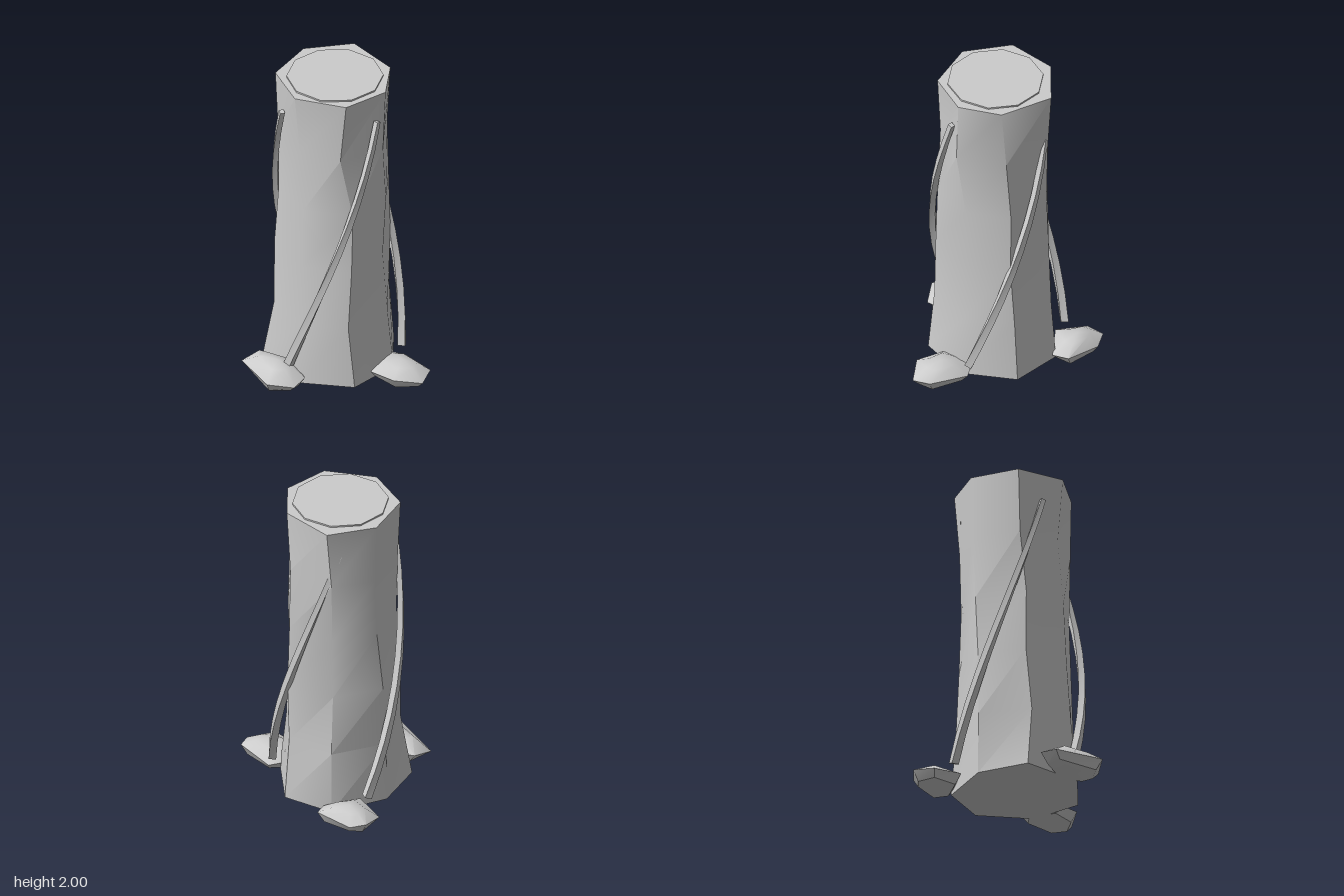
import * as THREE from 'three';
import { toCreasedNormals } from 'three/addons/utils/BufferGeometryUtils.js';

const AXIS = new THREE.Vector2(-0.1, -0.03); // trunk axis in x, z

// Skins closed rings from bottom to top and caps both ends.
function loft(rings, crease, apex) {
  const n = rings[0].length;
  const centre = (ring) => ring.reduce((s, p) => s.add(p), new THREE.Vector3()).divideScalar(n);
  const last = (rings.length - 1) * n;
  const points = [...rings.flat(), centre(rings[0]), apex || centre(rings[rings.length - 1])];
  const index = [];
  for (let j = 0; j < n; j++) {
    const k = (j + 1) % n;
    for (let i = 0; i < last; i += n) {
      index.push(i + j, i + n + j, i + k, i + k, i + n + j, i + n + k);
    }
    index.push(points.length - 2, j, k);
    index.push(points.length - 1, last + k, last + j);
  }
  const geometry = new THREE.BufferGeometry().setFromPoints(points);
  geometry.setIndex(index);
  return toCreasedNormals(geometry, crease);
}

// Seven uneven sides; each row lists x, z of one corner at six heights.
function trunkGeometry() {
  const corners = [
    [0.27, -0.12, 0.225, -0.12, 0.205, -0.1, 0.215, -0.12, 0.235, -0.06, 0.24, -0.08],
    [0.21, 0.205, 0.16, 0.2, 0.17, 0.18, 0.17, 0.165, 0.105, 0.205, 0.14, 0.195],
    [-0.1, 0.355, -0.11, 0.315, -0.12, 0.29, -0.12, 0.27, -0.16, 0.25, -0.17, 0.29],
    [-0.465, 0.2, -0.39, 0.19, -0.41, 0.16, -0.385, 0.15, -0.41, 0.12, -0.43, 0.12],
    [-0.475, -0.13, -0.47, -0.13, -0.455, -0.14, -0.43, -0.17, -0.425, -0.19, -0.44, -0.195],
    [-0.255, -0.42, -0.24, -0.395, -0.24, -0.375, -0.23, -0.365, -0.23, -0.375, -0.22, -0.415],
    [0.07, -0.415, 0.06, -0.38, 0.08, -0.365, 0.07, -0.36, 0.08, -0.33, 0.11, -0.32],
  ];
  const rings = [];
  for (let i = 0; i < 6; i++) {
    rings.push(corners.map((c) => new THREE.Vector3(c[2 * i], 0.398 * i, c[2 * i + 1])));
  }
  return loft(rings, 0.87);
}

// Square, tapering vine that climbs the trunk in a quarter turn.
function vineGeometry(startDeg, endDeg, r0, r1) {
  const at = (t) => {
    const a = THREE.MathUtils.degToRad(THREE.MathUtils.lerp(startDeg, endDeg, t));
    const r = THREE.MathUtils.lerp(r0, r1, t);
    return new THREE.Vector3(AXIS.x + r * Math.cos(a), 0.11 + 1.7 * t, AXIS.y + r * Math.sin(a));
  };
  const rings = [];
  const steps = 10;
  for (let i = 0; i <= steps; i++) {
    const t = i / steps;
    const p = at(t);
    const out = new THREE.Vector3(p.x - AXIS.x, 0, p.z - AXIS.y).normalize();
    const along = at(t + 0.01).sub(at(t - 0.01)).normalize();
    const side = out.clone().cross(along).normalize();
    const half = THREE.MathUtils.lerp(0.023, 0.015, t);
    rings.push([[1, -1], [1, 1], [-1, 1], [-1, -1]].map(([u, v]) =>
      p.clone().addScaledVector(out, u * half).addScaledVector(side, v * half)));
  }
  return loft(rings, 0.6);
}

// Squat stone-like root: small foot, wide rim, low domed crown.
function rootGeometry(outline, peak) {
  const cx = outline.reduce((s, p) => s + p[0], 0) / outline.length;
  const cz = outline.reduce((s, p) => s + p[1], 0) / outline.length;
  const ring = (scale, y, wobble) => outline.map(([x, z], i) => new THREE.Vector3(
    cx + (x - cx) * scale, y + (i % 2 ? wobble : -wobble), cz + (z - cz) * scale));
  const rings = [ring(0.78, 0, 0), ring(1, 0.055, 0.012), ring(0.5, peak - 0.02, 0)];
  return loft(rings, 0.85, new THREE.Vector3(cx, peak, cz));
}

export function createModel() {
  const group = new THREE.Group();
  const bark = new THREE.MeshStandardMaterial({ color: 0xcccccc });
  bark.name = 'pale grey bark';
  const add = (name, geometry) => {
    const mesh = new THREE.Mesh(geometry, bark);
    mesh.name = name;
    group.add(mesh);
    return mesh;
  };

  add('trunk', trunkGeometry());

  // Ten-sided cut face on top
  const cut = add('cutFace', new THREE.CylinderGeometry(0.293, 0.293, 0.02, 10));
  cut.rotation.y = Math.PI / 2;
  cut.position.set(-0.11, 1.99, -0.05);

  // Climbing vines
  add('frontVine', vineGeometry(100, 3.5, 0.396, 0.327));
  add('backVine', vineGeometry(-25, -118, 0.412, 0.345));
  add('rightVine', vineGeometry(219.5, 129.5, 0.44, 0.33));

  // Roots around the foot
  add('leftRoot', rootGeometry(
    [[0.56, -0.01], [0.42, 0.095], [0.22, 0.06], [0.2, -0.16], [0.295, -0.215], [0.535, -0.13]], 0.125));
  add('frontRoot', rootGeometry(
    [[-0.05, 0.47], [-0.185, 0.565], [-0.485, 0.4], [-0.44, 0.275], [-0.2, 0.25], [-0.04, 0.37]], 0.14));
  add('backRoot', rootGeometry(
    [[-0.21, -0.435], [-0.38, -0.29], [-0.565, -0.38], [-0.555, -0.525], [-0.465, -0.57], [-0.23, -0.55]], 0.125));

  return group;
}
